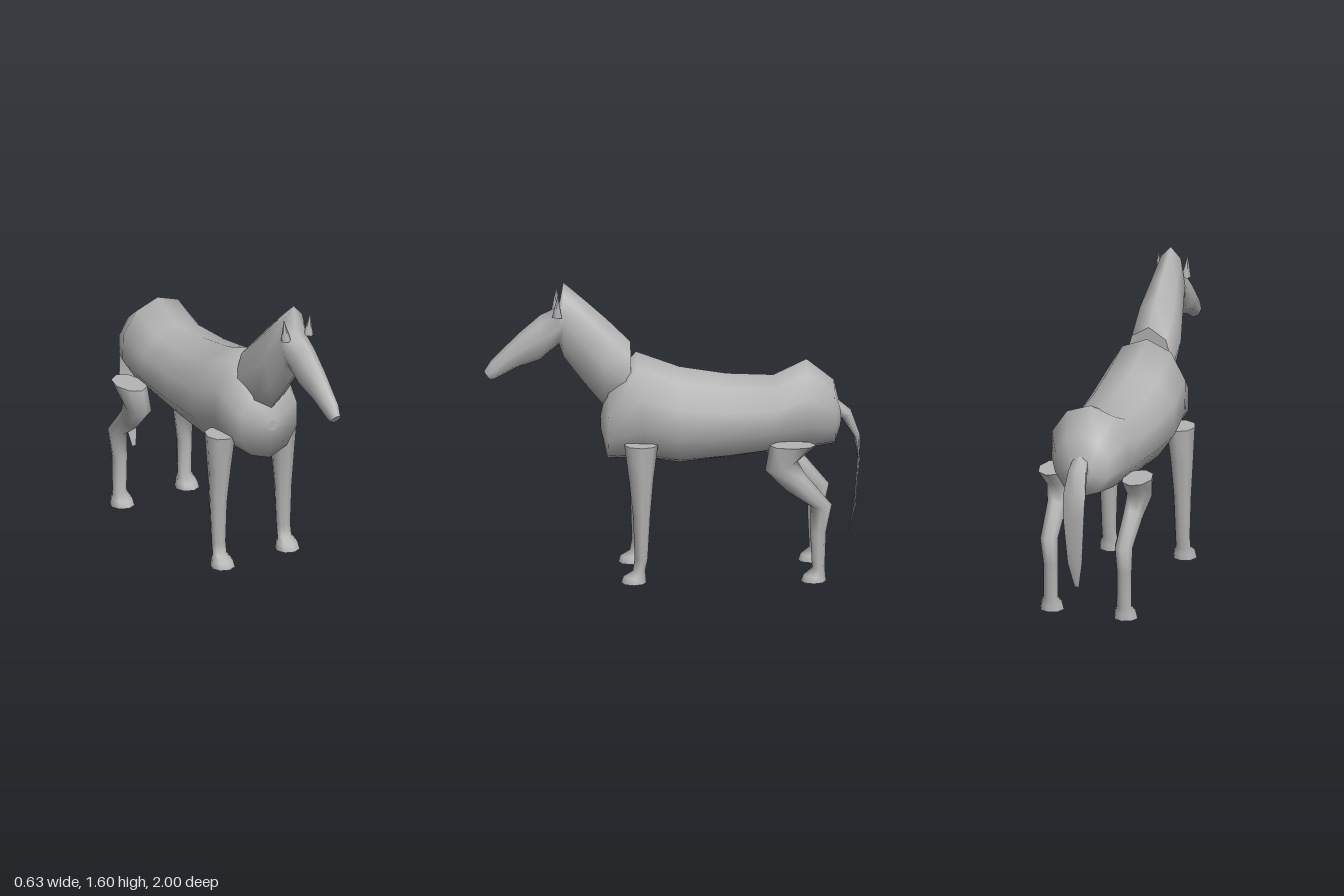
import * as THREE from 'three';

const coat = new THREE.MeshStandardMaterial({ color: 0xb4b4b4 });
coat.name = 'grey coat';

// Loft through rings given as [z1, y1, z2, y2, halfWidth, xCentre]:
// two opposite points of the ring in the side plane, and its extent in x.
function loft(name, rings, sides) {
  const pos = [], idx = [];
  const ringPoint = (r, j) => {
    const a = (j / sides) * Math.PI * 2, c = Math.cos(a);
    const [z1, y1, z2, y2, w, cx = 0] = r;
    return [
      cx + Math.sin(a) * w,
      (y1 + y2) / 2 + (c * (y1 - y2)) / 2,
      (z1 + z2) / 2 + (c * (z1 - z2)) / 2,
    ];
  };
  rings.forEach((r) => {
    for (let j = 0; j < sides; j++) pos.push(...ringPoint(r, j));
  });
  for (let i = 0; i < rings.length - 1; i++) {
    for (let j = 0; j < sides; j++) {
      const k = (j + 1) % sides;
      const a = i * sides + j, b = a + sides, c = (i + 1) * sides + k, d = i * sides + k;
      idx.push(a, b, c, a, c, d);
    }
  }
  // flat end caps with their own vertices, so that the rim stays sharp
  [rings[0], rings[rings.length - 1]].forEach((r, end) => {
    const start = pos.length / 3;
    for (let j = 0; j < sides; j++) pos.push(...ringPoint(r, j));
    for (let j = 1; j < sides - 1; j++) {
      if (end) idx.push(start, start + j + 1, start + j);
      else idx.push(start, start + j, start + j + 1);
    }
  });
  const geo = new THREE.BufferGeometry();
  geo.setAttribute('position', new THREE.Float32BufferAttribute(pos, 3));
  geo.setIndex(idx);
  geo.computeVertexNormals();
  const mesh = new THREE.Mesh(geo, coat);
  mesh.name = name;
  return mesh;
}

export function createModel() {
  const horse = new THREE.Group();
  horse.name = 'horse';

  // barrel, from rump to chest
  horse.add(loft('body', [
    [-0.895, 0.90, -0.895, 0.80, 0.06],
    [-0.86, 1.05, -0.865, 0.70, 0.155],
    [-0.715, 1.165, -0.74, 0.68, 0.225],
    [-0.54, 1.08, -0.55, 0.665, 0.23],
    [-0.29, 1.09, -0.30, 0.63, 0.238],
    [-0.04, 1.13, -0.04, 0.603, 0.248],
    [0.19, 1.215, 0.14, 0.63, 0.235],
    [0.34, 1.05, 0.345, 0.63, 0.19],
    [0.38, 0.86, 0.38, 0.80, 0.03],
  ], 10));

  // neck running into the head
  horse.add(loft('neckAndHead', [
    [0.22, 1.27, 0.22, 0.87, 0.135],
    [0.34, 1.39, 0.37, 0.93, 0.135],
    [0.45, 1.49, 0.47, 1.05, 0.108],
    [0.577, 1.60, 0.575, 1.19, 0.08],
    [0.60, 1.47, 0.60, 1.26, 0.082],
    [0.70, 1.42, 0.70, 1.175, 0.072],
    [0.81, 1.325, 0.83, 1.13, 0.058],
    [0.96, 1.175, 0.94, 1.07, 0.043],
    [0.998, 1.115, 0.96, 1.065, 0.028],
  ], 8));

  // tail, curving down to a point
  horse.add(loft('tail', [
    [-0.87, 0.86, -0.87, 0.95, 0.045],
    [-0.905, 0.835, -0.95, 0.885, 0.055],
    [-0.965, 0.74, -0.998, 0.75, 0.07],
    [-0.985, 0.62, -1.0, 0.62, 0.066],
    [-0.966, 0.36, -0.978, 0.36, 0.046],
    [-0.937, 0.215, -0.943, 0.215, 0.014],
  ], 6));

  for (const [label, s] of [['left', 1], ['right', -1]]) {
    const leg = (name, rings) =>
      loft(name, rings.map(([z1, y1, z2, y2, w, x]) => [z1, y1, z2, y2, w, x * s]), 8);

    horse.add(leg(label + 'FrontLeg', [
      [0.26, 0.755, 0.08, 0.755, 0.08, 0.197],
      [0.235, 0.56, 0.105, 0.56, 0.064, 0.203],
      [0.213, 0.36, 0.122, 0.36, 0.05, 0.207],
      [0.205, 0.13, 0.135, 0.13, 0.042, 0.207],
      [0.215, 0.065, 0.148, 0.065, 0.043, 0.207],
      [0.265, 0.035, 0.145, 0.035, 0.06, 0.207],
      [0.277, 0, 0.143, 0, 0.067, 0.207],
    ]));

    horse.add(leg(label + 'HindLeg', [
      [-0.51, 0.755, -0.76, 0.755, 0.08, 0.235],
      [-0.487, 0.615, -0.66, 0.665, 0.07, 0.225],
      [-0.60, 0.50, -0.70, 0.59, 0.055, 0.215],
      [-0.73, 0.41, -0.842, 0.42, 0.05, 0.21],
      [-0.727, 0.27, -0.812, 0.27, 0.042, 0.207],
      [-0.737, 0.075, -0.805, 0.075, 0.042, 0.207],
      [-0.69, 0.035, -0.808, 0.035, 0.06, 0.207],
      [-0.677, 0, -0.812, 0, 0.067, 0.207],
    ]));

    // pointed ear
    const ear = new THREE.Mesh(new THREE.ConeGeometry(0.028, 0.125, 5), coat);
    ear.name = label + 'Ear';
    ear.position.set(0.078 * s, 1.49, 0.61);
    ear.rotation.z = -0.1 * s;
    horse.add(ear);
  }
  return horse;
}
